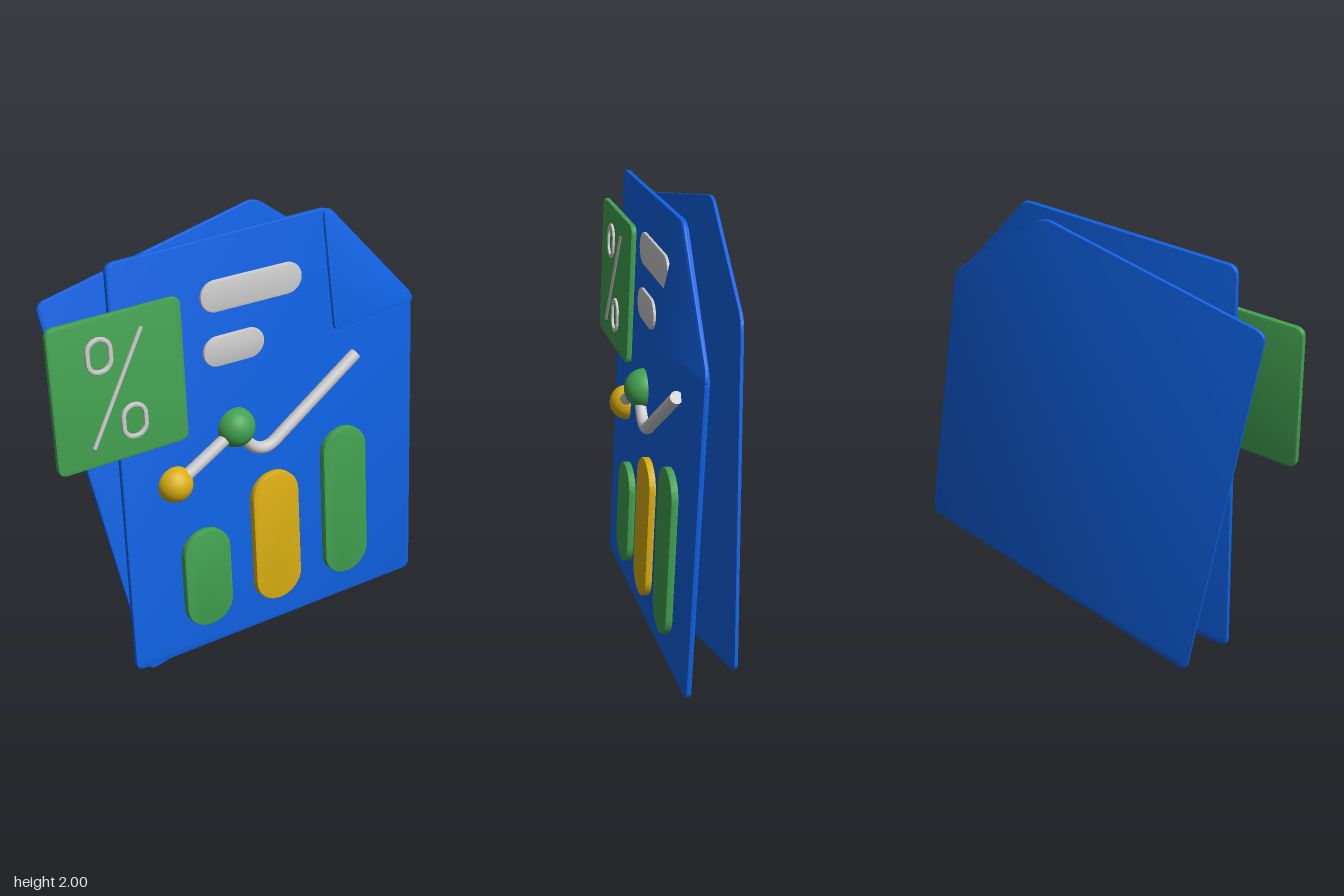
import * as THREE from 'three';
import { toCreasedNormals } from 'three/addons/utils/BufferGeometryUtils.js';

const mat = (color) => new THREE.MeshStandardMaterial({ color });
const BLUE = mat(0x0f62e4), GREEN = mat(0x42a150), GOLD = mat(0xdaae10), GREY = mat(0xcccccc);

// Leaning plane z = a + b*x + c*y; returns a function placing (x, y, height above plane)
function leaning(a, b, c) {
  const n = new THREE.Vector3(-b, -c, 1).normalize();
  return (x, y, h = 0) => new THREE.Vector3(x, y, a + b * x + c * y).addScaledVector(n, h);
}
const onFront = leaning(0.14, 0.384, -0.055);
const onBack = leaning(-0.016, 0.365, -0.074);
const onFold = leaning(0.544, 0.18, -0.224);

// Polygon with rounded corners
function roundedPolygon(points, radius) {
  const pts = points.map(([x, y]) => new THREE.Vector2(x, y));
  const shape = new THREE.Shape();
  pts.forEach((p, i) => {
    const prev = pts[(i + pts.length - 1) % pts.length], next = pts[(i + 1) % pts.length];
    const toward = (q) => p.clone().add(q.clone().sub(p).setLength(radius));
    const s = toward(prev), e = toward(next);
    if (i === 0) shape.moveTo(s.x, s.y); else shape.lineTo(s.x, s.y);
    shape.quadraticCurveTo(p.x, p.y, e.x, e.y);
  });
  shape.closePath();
  return shape;
}

// Upright or lying capsule outline
function pill(x0, x1, y0, y1, Path = THREE.Shape) {
  const r = Math.min(x1 - x0, y1 - y0) / 2;
  const s = new Path();
  s.absarc(x1 - r, y1 - r, r, 0, Math.PI / 2);
  s.absarc(x0 + r, y1 - r, r, Math.PI / 2, Math.PI);
  s.absarc(x0 + r, y0 + r, r, Math.PI, Math.PI * 1.5);
  s.absarc(x1 - r, y0 + r, r, Math.PI * 1.5, Math.PI * 2);
  s.closePath();
  return s;
}

// Extrudes a shape and lays it on a leaning plane, from height h0 to h1
function plate(name, shape, place, h0, h1, material, bevel = 0.004) {
  const geo = new THREE.ExtrudeGeometry(shape, {
    depth: h1 - h0 - 2 * bevel, curveSegments: 12, bevelEnabled: true,
    bevelThickness: bevel, bevelSize: bevel, bevelOffset: -bevel, bevelSegments: 2,
  });
  const pos = geo.attributes.position;
  for (let i = 0; i < pos.count; i++) {
    const p = place(pos.getX(i), pos.getY(i), pos.getZ(i) + h0 + bevel);
    pos.setXYZ(i, p.x, p.y, p.z);
  }
  const mesh = new THREE.Mesh(toCreasedNormals(geo, 0.6), material);
  mesh.name = name;
  return mesh;
}

function ball(name, x, y, r, material) {
  const mesh = new THREE.Mesh(new THREE.SphereGeometry(r, 32, 20), material);
  mesh.name = name;
  mesh.position.copy(onFront(x, y, 0));
  return mesh;
}

export function createModel() {
  const model = new THREE.Group();
  model.name = 'reportSheets';

  // Two sheets with a cut corner, and the folded corner standing slightly off the front one
  model.add(
    plate('backSheet', roundedPolygon(
      [[-0.46, -0.005], [0.91, 0.305], [0.665, 1.65], [0.2, 2.01], [-0.78, 1.785]], 0.045),
      onBack, -0.008, 0.008, BLUE),
    plate('frontSheet', roundedPolygon(
      [[-0.63, 0.12], [0.75, 0.14], [0.765, 1.49], [0.36, 1.975], [-0.62, 1.95]], 0.04),
      onFront, -0.022, 0, BLUE),
    plate('foldedCorner', roundedPolygon(
      [[0.285, 1.48], [0.775, 1.468], [0.765, 1.51], [0.37, 1.97], [0.335, 1.97]], 0.018),
      onFold, -0.012, 0.004, BLUE),
  );

  // Text lines
  for (const [x0, x1, y0, y1] of [[-0.24, 0.22, 1.65, 1.785], [-0.24, 0.035, 1.415, 1.545]])
    model.add(plate('headingLine', pill(x0, x1, y0, y1), onFront, -0.005, 0.012, GREY));

  // Chart bars
  for (const [x0, x1, y0, y1, m] of [
    [-0.393, -0.178, 0.238, 0.7, GREEN],
    [-0.06, 0.16, 0.245, 0.867, GOLD],
    [0.288, 0.503, 0.255, 0.975, GREEN],
  ]) model.add(plate('chartBar', pill(x0, x1, y0, y1), onFront, -0.005, 0.03, m, 0.006));

  // Trend line with two marker balls
  const [p0, p1, p2, p3, p4, p5] = [
    [-0.4, 0.95], [-0.12, 1.12], [-0.065, 1.04], [0, 0.96], [0.08, 1.03], [0.465, 1.305],
  ].map(([x, y]) => onFront(x, y, 0.018));
  const path = new THREE.CurvePath();
  path.add(new THREE.LineCurve3(p0, p1));
  path.add(new THREE.LineCurve3(p1, p2));
  path.add(new THREE.QuadraticBezierCurve3(p2, p3, p4));
  path.add(new THREE.LineCurve3(p4, p5));
  const line = new THREE.Mesh(new THREE.TubeGeometry(path, 80, 0.027, 14), GREY);
  line.name = 'trendLine';
  const cap = new THREE.Mesh(new THREE.CircleGeometry(0.027, 14), GREY);
  cap.name = 'trendLineEnd';
  cap.position.copy(p5);
  cap.lookAt(p5.clone().multiplyScalar(2).sub(p4));
  model.add(line, cap,
    ball('goldMarker', -0.4, 0.947, 0.078, GOLD),
    ball('greenMarker', -0.112, 1.122, 0.086, GREEN));

  // Badge with two raised rings and a slanted stroke
  const badge = new THREE.Group();
  badge.name = 'badge';
  badge.add(plate('badgePlate', roundedPolygon(
    [[-0.892, 1.137], [-0.335, 1.145], [-0.335, 1.765], [-0.892, 1.757]], 0.04),
    onFront, 0.002, 0.026, GREEN));
  for (const [x, y] of [[-0.69, 1.605], [-0.565, 1.297]]) {
    const ring = pill(x - 0.056, x + 0.056, y - 0.077, y + 0.077);
    ring.holes.push(pill(x - 0.038, x + 0.038, y - 0.059, y + 0.059, THREE.Path));
    badge.add(plate('badgeRing', ring, onFront, 0.022, 0.037, GREY));
  }
  const stroke = new THREE.Mesh(new THREE.TubeGeometry(
    new THREE.LineCurve3(onFront(-0.74, 1.222, 0.028), onFront(-0.508, 1.682, 0.028)), 1, 0.009, 10), GREY);
  stroke.name = 'badgeStroke';
  badge.add(stroke);
  model.add(badge);

  return model;
}
